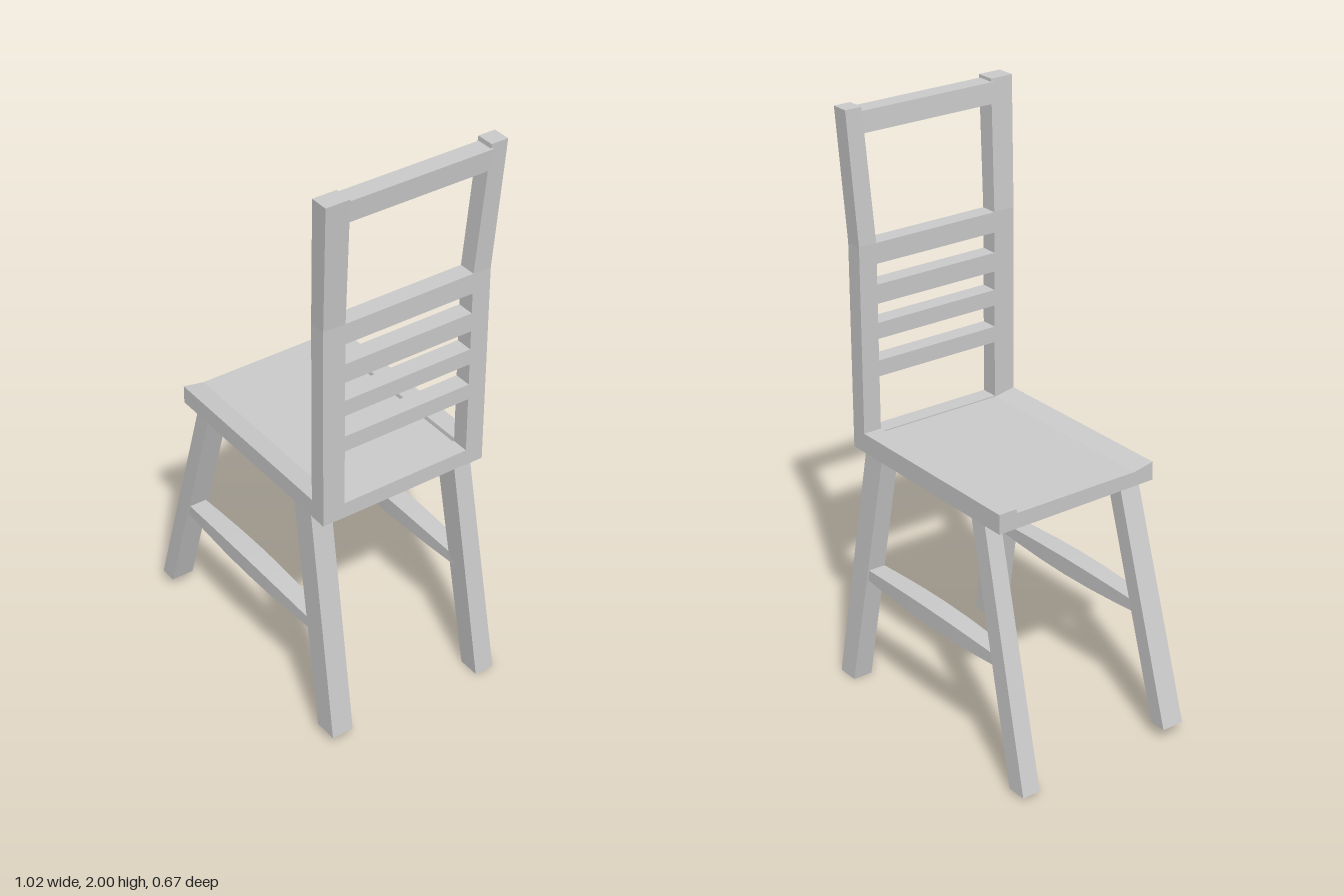
import * as THREE from 'three';

const material = new THREE.MeshStandardMaterial({ color: 0xcccccc, flatShading: true });

// Skin over a list of four-cornered rings, capped at both ends
function loft(name, rings) {
  const pos = [];
  const quad = (a, b, c, d) => pos.push(...a, ...b, ...c, ...a, ...c, ...d);
  for (let i = 0; i < rings.length - 1; i++) {
    for (let k = 0; k < 4; k++) {
      const n = (k + 1) % 4;
      quad(rings[i][k], rings[i][n], rings[i + 1][n], rings[i + 1][k]);
    }
  }
  const [a, b, c, d] = rings[0];
  quad(d, c, b, a);
  quad(...rings[rings.length - 1]);
  const geo = new THREE.BufferGeometry();
  geo.setAttribute('position', new THREE.Float32BufferAttribute(pos, 3));
  geo.computeVertexNormals();
  const mesh = new THREE.Mesh(geo, material);
  mesh.name = name;
  return mesh;
}

// Horizontal ring for uprights, and upright ring for bars running along x
const flatRing = (y, x0, x1, z0, z1) => [[x0, y, z1], [x1, y, z1], [x1, y, z0], [x0, y, z0]];
const barRing = (x, y0, y1, z0, z1) => [[x, y0, z1], [x, y0, z0], [x, y1, z0], [x, y1, z1]];

export function createModel() {
  const chair = new THREE.Group();
  chair.name = 'chair';

  // Seat: shallow dish with a crisp lip on one side and a soft slope on the other
  const profile = new THREE.Shape(
    [[0.29, 0.853], [0.29, 0.92], [0.225, 0.92], [0.223, 0.906], [-0.24, 0.906],
      [-0.315, 0.92], [-0.315, 0.857]].map(([u, y]) => new THREE.Vector2(u, y)));
  const seatGeo = new THREE.ExtrudeGeometry(profile, { depth: 0.72, bevelEnabled: false });
  seatGeo.rotateY(Math.PI / 2).translate(-0.34, 0, 0);
  const seat = new THREE.Mesh(seatGeo, material);
  seat.name = 'seat';
  chair.add(seat);

  // Splayed legs, foot to seat
  chair.add(
    loft('frontLegLeft', [
      flatRing(0.042, -0.51, -0.45, 0.245, 0.325), flatRing(0.86, -0.262, -0.2, 0.24, 0.315)]),
    loft('frontLegRight', [
      flatRing(0.01, -0.507, -0.437, -0.325, -0.26), flatRing(0.86, -0.262, -0.195, -0.288, -0.228)]),
    loft('backLegLeft', [
      flatRing(0.042, 0.425, 0.508, 0.248, 0.325), flatRing(0.86, 0.285, 0.375, 0.24, 0.315)]),
    loft('backLegRight', [
      flatRing(0, 0.418, 0.495, -0.333, -0.263), flatRing(0.86, 0.285, 0.375, -0.288, -0.225)]));

  // Back posts: straight, then flaring outwards and back
  chair.add(
    loft('backPostLeft', [
      flatRing(0.856, 0.38, 0.44, 0.237, 0.315),
      flatRing(1.56, 0.38, 0.44, 0.237, 0.315),
      flatRing(1.995, 0.413, 0.477, 0.25, 0.333)]),
    loft('backPostRight', [
      flatRing(0.853, 0.38, 0.44, -0.29, -0.225),
      flatRing(1.56, 0.38, 0.44, -0.29, -0.225),
      flatRing(2, 0.405, 0.466, -0.31, -0.25)]));

  // Slats and the rail behind the seat
  for (const [y0, y1] of [[0.855, 0.91], [1.105, 1.16], [1.235, 1.29], [1.355, 1.42], [1.49, 1.56]]) {
    const slat = new THREE.Mesh(new THREE.BoxGeometry(0.06, y1 - y0, 0.48), material);
    slat.position.set(0.41, (y0 + y1) / 2, 0.006);
    slat.name = 'backSlat';
    chair.add(slat);
  }

  // Top rail, following the lean of the posts
  chair.add(loft('topRail', [
    flatRing(1.915, 0.403, 0.466, -0.255, 0.26), flatRing(1.985, 0.408, 0.471, -0.255, 0.26)]));

  // Side stretchers, thicker in the middle
  for (const [name, z0, z1] of [['stretcherLeft', 0.255, 0.315], ['stretcherRight', -0.305, -0.245]]) {
    const rings = [];
    for (let i = 0; i <= 6; i++) {
      const t = i / 6;
      const bulge = Math.sin(Math.PI * t);
      rings.push(barRing(-0.36 + 0.74 * t, 0.4 - 0.014 * bulge, 0.436 + 0.012 * bulge,
        z0 - 0.006 * bulge, z1 + 0.006 * bulge));
    }
    chair.add(loft(name, rings));
  }

  return chair;
}
